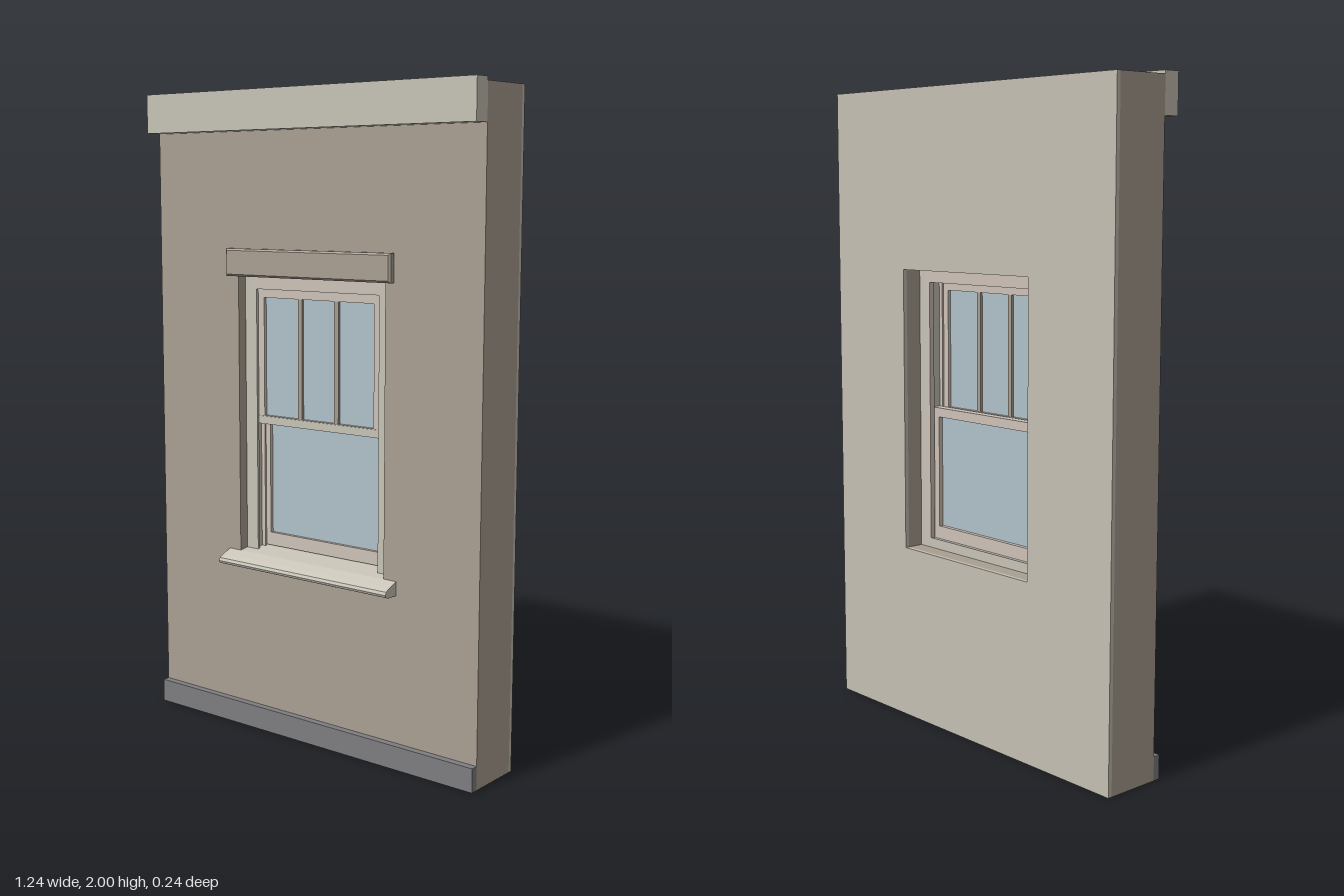
import * as THREE from 'three';

const mat = (name, color) => {
  const m = new THREE.MeshStandardMaterial({ color });
  m.name = name;
  return m;
};

export function createModel() {
  const root = new THREE.Group();
  root.name = 'wallWithWindow';
  const render = mat('render', 0xa99f93);
  const plaster = mat('plaster', 0xc5bfb2);
  const trim = mat('trim', 0xc7c3b6);
  const sashPaint = mat('sashPaint', 0xcdc2b8);
  const plinthGrey = mat('plinthGrey', 0x7e7e80);
  const glass = mat('glass', 0xb0c1c9);
  const bar = mat('bar', 0xa79e90);

  const add = (name, geometry, material, parent = root) => {
    const m = new THREE.Mesh(geometry, material);
    m.name = name;
    parent.add(m);
    return m;
  };

  // Box given by its limits on each axis
  const box = (name, material, [x0, x1], [y0, y1], [z0, z1], parent) => {
    const g = new THREE.BoxGeometry(x1 - x0, y1 - y0, z1 - z0);
    g.translate((x0 + x1) / 2, (y0 + y1) / 2, (z0 + z1) / 2);
    return add(name, g, material, parent);
  };

  const rect = (P, w, y0, y1) => {
    const p = new P();
    p.moveTo(-w, y0).lineTo(w, y0).lineTo(w, y1).lineTo(-w, y1).closePath();
    return p;
  };

  // Rectangular ring: outer and inner are [half width, bottom, top]
  const ring = (name, material, outer, inner, [z0, z1], parent) => {
    const s = rect(THREE.Shape, ...outer);
    s.holes.push(rect(THREE.Path, ...inner));
    const g = new THREE.ExtrudeGeometry(s, { depth: z1 - z0, bevelEnabled: false });
    g.translate(0, 0, z0);
    return add(name, g, material, parent);
  };

  // Profile of [z, y] points run along x
  const run = (name, material, points, half, parent) => {
    const s = new THREE.Shape(points.map(([z, y]) => new THREE.Vector2(z, y)));
    const g = new THREE.ExtrudeGeometry(s, { depth: half * 2, bevelEnabled: false });
    g.rotateY(-Math.PI / 2).translate(half, 0, 0);
    return add(name, g, material, parent);
  };

  // Wall: outer body and inner plaster lining, both pierced by the opening
  const opening = [0.284, 0.555, 1.44];
  ring('wall', render, [0.62, 0, 1.99], opening, [-0.107, 0.067]);
  ring('innerLining', plaster, [0.62, 0, 1.99], opening, [-0.12, -0.107]);

  // Bands across the facade
  box('topBand', trim, [-0.62, 0.62], [1.88, 2], [0.067, 0.12]);
  box('plinth', plinthGrey, [-0.62, 0.62], [0, 0.073], [0.067, 0.09]);

  // Lintel with slightly bevelled front edges
  const lintelShape = rect(THREE.Shape, 0.311, 1.446, 1.519);
  const lintel = new THREE.ExtrudeGeometry(lintelShape, {
    depth: 0.015, bevelThickness: 0.006, bevelSize: 0.006, bevelSegments: 1,
  });
  lintel.translate(0, 0, 0.071);
  add('lintel', lintel, render);

  // Window
  const win = new THREE.Group();
  win.name = 'window';
  root.add(win);

  // Projecting sill with sloping, rounded nose and its inner part
  run('sill', trim, [
    [0.067, 0.525], [0.105, 0.525], [0.116, 0.529], [0.12, 0.537],
    [0.116, 0.546], [0.1, 0.555], [0.067, 0.568],
  ], 0.33, win);
  run('innerSill', trim, [[0.067, 0.555], [0.067, 0.568], [-0.055, 0.586], [-0.055, 0.555]], 0.284, win);

  // Frame: jambs, head and stepped stops
  for (const s of [-1, 1]) {
    const side = (a, b) => (s > 0 ? [a, b] : [-b, -a]);
    box('jamb', trim, side(0.25, 0.284), [0.56, 1.44], [-0.055, 0.035], win);
    box('outerStop', trim, side(0.238, 0.25), [0.57, 1.4], [0.027, 0.035], win);
    box('partingStop', sashPaint, side(0.236, 0.25), [0.57, 1.4], [-0.004, 0.002], win);
    box('innerStop', sashPaint, side(0.236, 0.25), [0.57, 1.4], [-0.055, -0.038], win);
  }
  box('head', sashPaint, [-0.25, 0.25], [1.4, 1.44], [-0.055, 0.035], win);

  // Upper sash in front, with two glazing bars
  ring('upperSash', sashPaint, [0.25, 0.978, 1.4], [0.214, 1.005, 1.374], [0.002, 0.027], win);
  box('upperGlass', glass, [-0.214, 0.214], [1.005, 1.374], [0.012, 0.017], win);
  for (const x of [-0.071, 0.071]) {
    box('glazingBar', bar, [x - 0.008, x + 0.008], [1.005, 1.374], [0.004, 0.025], win);
  }
  box('meetingRailFace', trim, [-0.236, 0.236], [0.98, 1.003], [0.026, 0.03], win);

  // Lower sash behind
  ring('lowerSash', sashPaint, [0.25, 0.582, 1.005], [0.218, 0.624, 0.976], [-0.034, -0.004], win);
  box('lowerGlass', glass, [-0.218, 0.218], [0.624, 0.976], [-0.02, -0.015], win);

  return root;
}
